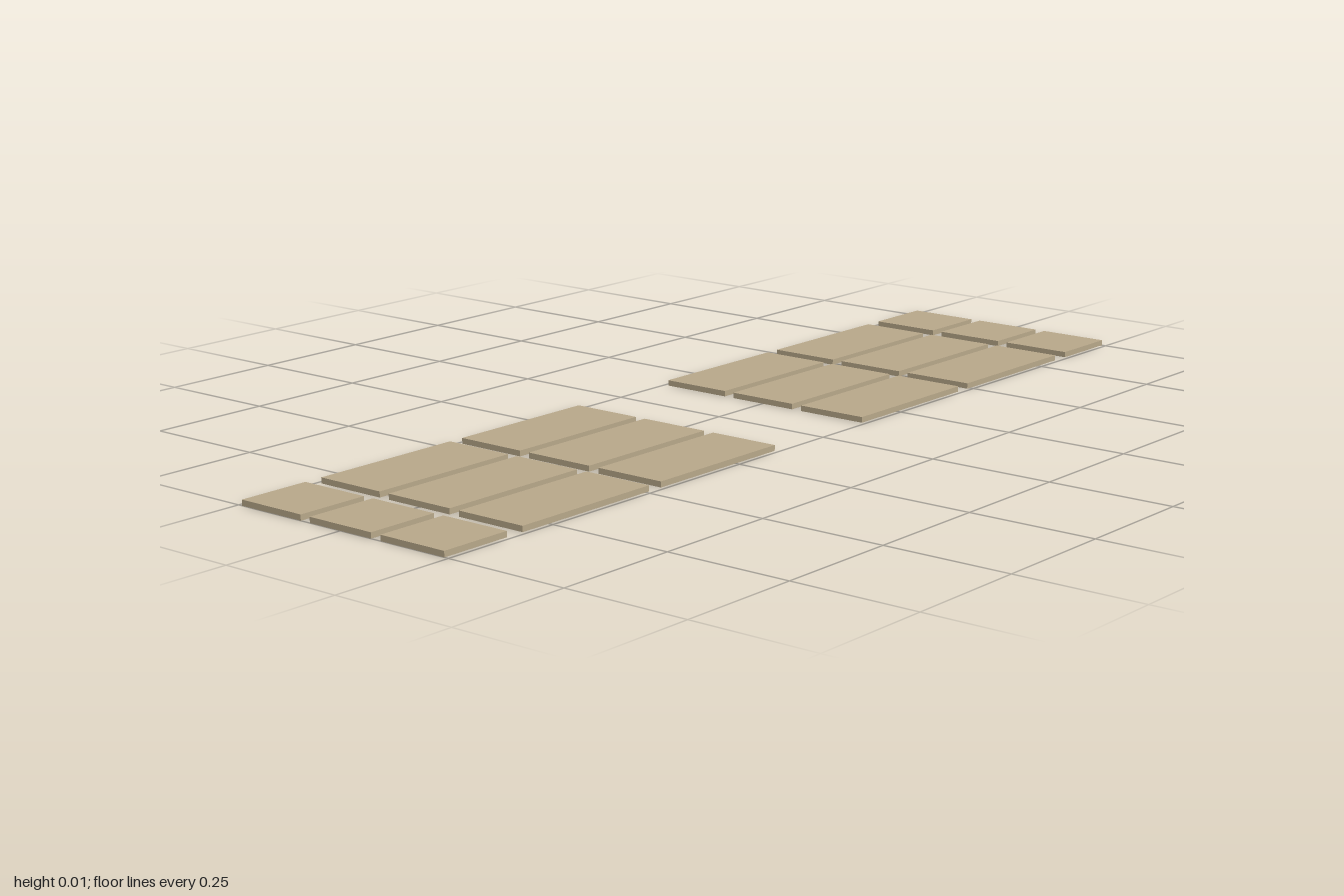
import * as THREE from 'three';

export function createModel() {
  const group = new THREE.Group();
  group.name = 'pavingSlabs';
  const material = new THREE.MeshStandardMaterial({ color: 0xb8a88a });
  const width = 0.146, height = 0.011, spacing = 0.168;

  // Near and far z of each row, mirrored to the other half
  const rows = [
    { name: 'innerSlab', near: 0.135, far: 0.459 },
    { name: 'middleSlab', near: 0.491, far: 0.815 },
    { name: 'endSlab', near: 0.853, far: 1.0 },
  ];

  for (const { name, near, far } of rows) {
    const geometry = new THREE.BoxGeometry(width, height, far - near);
    for (const side of [1, -1]) {
      // Three slabs across each row
      for (const column of [-1, 0, 1]) {
        const slab = new THREE.Mesh(geometry, material);
        slab.name = name;
        slab.position.set(column * spacing, height / 2, side * (near + far) / 2);
        group.add(slab);
      }
    }
  }
  return group;
}
